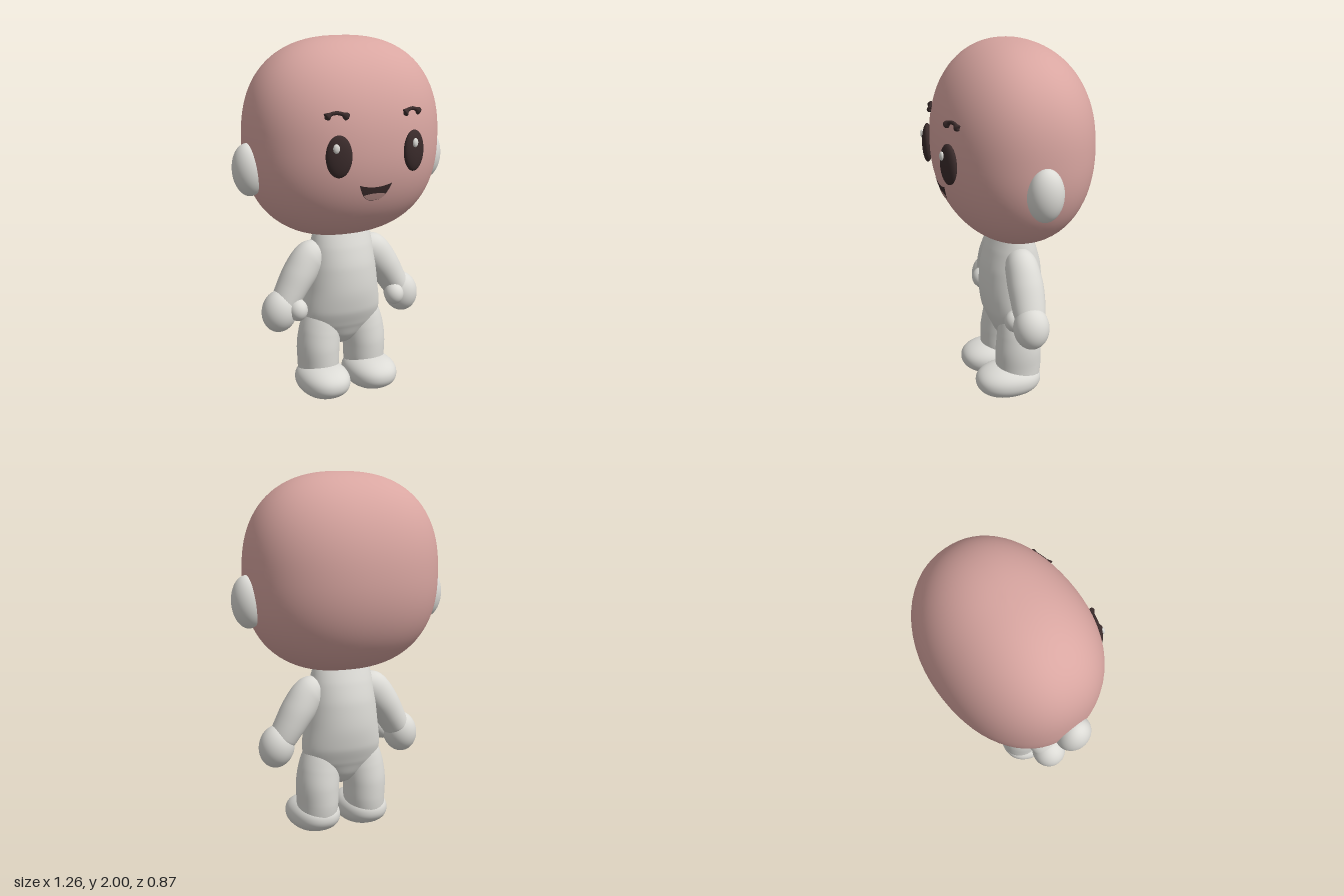
import * as THREE from 'three';

const material = (name, color) => {
  const m = new THREE.MeshStandardMaterial({ color });
  m.name = name;
  return m;
};

// Head dimensions, shared with everything that sits on the face
const HEAD = { y: 1.465, z: -0.014, rx: 0.55, ry: 0.54, rz: 0.424, nx: 2.45, nz: 2.15, m: 2.15 };

// Rounded profile: half width at relative height t
const bulge = (t, n) => Math.pow(Math.max(0, 1 - Math.pow(Math.abs(t), n)), 1 / n);

// Height of the face surface in z at a given x, y
function faceZ(x, y) {
  const t = (y - HEAD.y) / HEAD.ry;
  const s = x / (HEAD.rx * bulge(t, HEAD.nx));
  return HEAD.z + HEAD.rz * bulge(t, HEAD.nz) * bulge(s, HEAD.m);
}

// Sphere squared off by separate exponents for front, side and top outlines
function softSphere({ rx, ry, rz, nx, nz, m }) {
  const g = new THREE.SphereGeometry(1, 64, 48);
  const p = g.attributes.position;
  for (let i = 0; i < p.count; i++) {
    const t = THREE.MathUtils.clamp(p.getY(i), -1, 1);
    const a = Math.atan2(p.getZ(i), p.getX(i));
    const c = Math.cos(a), s = Math.sin(a);
    const k = Math.pow(Math.pow(Math.abs(c), m) + Math.pow(Math.abs(s), m), -1 / m);
    p.setXYZ(i, rx * bulge(t, nx) * c * k, ry * t, rz * bulge(t, nz) * s * k);
  }
  // Analytic-looking normals without a seam: gradient of the implicit form
  g.computeVertexNormals();
  const n = g.attributes.normal;
  for (let row = 0; row <= 48; row++) {
    const a = row * 65, b = a + 64;
    const v = new THREE.Vector3().fromBufferAttribute(n, a).add(new THREE.Vector3().fromBufferAttribute(n, b)).normalize();
    n.setXYZ(a, v.x, v.y, v.z);
    n.setXYZ(b, v.x, v.y, v.z);
  }
  return g;
}

// Loft of oval rings along a spine; each section is [x, y, z, width radius, depth radius]
function loft(sections, steps = 48, sides = 40) {
  const spine = new THREE.CatmullRomCurve3(sections.map(s => new THREE.Vector3(s[0], s[1], s[2])));
  const radii = new THREE.CatmullRomCurve3(sections.map(s => new THREE.Vector3(s[3], s[4], 0)));
  const pos = [], idx = [];
  for (let i = 0; i <= steps; i++) {
    const u = i / steps, c = spine.getPoint(u), t = spine.getTangent(u), r = radii.getPoint(u);
    const side = new THREE.Vector3(t.y, -t.x, 0).normalize();
    for (let j = 0; j < sides; j++) {
      const a = (j / sides) * Math.PI * 2, w = Math.cos(a) * r.x;
      pos.push(c.x + side.x * w, c.y + side.y * w, c.z + Math.sin(a) * r.y);
      if (i === steps) continue;
      const p = i * sides + j, q = i * sides + (j + 1) % sides;
      idx.push(p, p + sides, q, q, p + sides, q + sides);
    }
  }
  const g = new THREE.BufferGeometry();
  g.setAttribute('position', new THREE.Float32BufferAttribute(pos, 3));
  g.setIndex(idx);
  g.computeVertexNormals();
  return g;
}

// Thin patch that follows the face between a lower and an upper curve
function facePatch(halfWidth, lower, upper, lift) {
  const g = new THREE.PlaneGeometry(1, 1, 28, 6);
  const p = g.attributes.position;
  for (let i = 0; i < p.count; i++) {
    const x = p.getX(i) * 2 * halfWidth;
    const y = THREE.MathUtils.lerp(lower(x), upper(x), p.getY(i) + 0.5);
    p.setXYZ(i, x, y, faceZ(x, y) + lift);
  }
  g.computeVertexNormals();
  return g;
}

export function createModel() {
  const model = new THREE.Group();
  model.name = 'chibiFigure';
  const pink = material('headPink', 0xd9a6a1);
  const white = material('bodyOffWhite', 0xdcdbd6);
  const dark = material('darkBrown', 0x3a2b2b);
  const tonguePink = material('tonguePink', 0xb98f8a);

  const add = (name, geometry, mat, parent = model) => {
    const mesh = new THREE.Mesh(geometry, mat);
    mesh.name = name;
    parent.add(mesh);
    return mesh;
  };
  const ball = (name, mat, [x, y, z], [rx, ry, rz], parent) => {
    const mesh = add(name, new THREE.SphereGeometry(1, 40, 28), mat, parent);
    mesh.position.set(x, y, z);
    mesh.scale.set(rx, ry, rz);
    return mesh;
  };

  // Head
  add('head', softSphere(HEAD), pink).position.set(0, HEAD.y, HEAD.z);

  // Mouth and tongue
  const lip = x => 1.18 + 0.09 * Math.pow(Math.abs(x) / 0.095, 3);
  add('mouth', facePatch(0.095, lip, x => 1.254 + 0.016 * (x / 0.095) ** 2, 0.003), dark);
  add('tongue', facePatch(0.066, x => lip(x) + 0.002, x => 1.22 - 0.008 * (x / 0.066) ** 2, 0.006), tonguePink);

  // Torso, from the crotch up into the head
  add('torso', loft([
    [0, 0.265, -0.01, 0.002, 0.002], [0, 0.29, -0.01, 0.06, 0.05], [0, 0.34, -0.01, 0.14, 0.09],
    [0, 0.41, -0.01, 0.215, 0.125], [0, 0.5, -0.01, 0.23, 0.16], [0, 0.62, -0.01, 0.215, 0.175],
    [0, 0.75, -0.01, 0.2, 0.168], [0, 0.86, -0.01, 0.185, 0.14], [0, 0.94, -0.01, 0.165, 0.108],
    [0, 1.0, -0.01, 0.13, 0.08],
  ], 64), white);

  for (const [label, s] of [['left', 1], ['right', -1]]) {
    // Ear
    ball(label + 'Ear', white, [s * 0.543, 1.325, -0.01], [0.086, 0.141, 0.095]).rotation.z = -s * 0.06;

    // Eye with a highlight on the same side of both eyes
    const eye = new THREE.Group();
    eye.name = label + 'Eye';
    eye.position.set(s * 0.217, 1.43, 0.393);
    eye.rotation.y = s * 0.28;
    model.add(eye);
    ball(label + 'Pupil', dark, [0, 0, 0], [0.068, 0.108, 0.03], eye);
    ball(label + 'EyeHighlight', white, [-0.018, 0.045, 0.028], [0.017, 0.024, 0.011], eye);

    // Eyebrow
    const brow = [-1, -0.5, 0, 0.5, 1].map(t => {
      const x = s * 0.217 + t * 0.055, y = 1.645 - 0.022 * t * t;
      return [x, y, faceZ(x, y) + 0.004, 0.01, 0.01];
    });
    brow.unshift([...brow[0].slice(0, 3), 0.001, 0.001]);
    brow.push([...brow[5].slice(0, 3), 0.001, 0.001]);
    brow[0][0] -= 0.003;
    brow[6][0] += 0.003;
    add(label + 'Eyebrow', loft(brow, 36, 12), dark);

    // Arm, from inside the shoulder to the wrist
    add(label + 'Arm', loft([
      [s * 0.08, 0.835, -0.01, 0.002, 0.002], [s * 0.12, 0.828, -0.01, 0.065, 0.065],
      [s * 0.19, 0.8, -0.01, 0.098, 0.09], [s * 0.258, 0.72, -0.01, 0.094, 0.098],
      [s * 0.315, 0.63, -0.008, 0.084, 0.094], [s * 0.355, 0.56, -0.004, 0.075, 0.085],
      [s * 0.38, 0.51, 0, 0.05, 0.05],
    ]), white);

    // Hand and thumb
    ball(label + 'Hand', white, [s * 0.386, 0.522, 0], [0.098, 0.118, 0.098]).rotation.z = s * 0.2;
    ball(label + 'Thumb', white, [s * 0.305, 0.535, 0.065], [0.055, 0.062, 0.058]);

    // Leg
    add(label + 'Leg', loft([
      [s * 0.115, 0.53, -0.01, 0.01, 0.01], [s * 0.125, 0.46, -0.01, 0.1, 0.1],
      [s * 0.137, 0.37, -0.01, 0.118, 0.118], [s * 0.147, 0.27, -0.01, 0.12, 0.13],
      [s * 0.147, 0.18, -0.01, 0.116, 0.13], [s * 0.15, 0.1, -0.01, 0.11, 0.12],
      [s * 0.15, 0.05, -0.01, 0.02, 0.02],
    ]), white);

    // Foot
    add(label + 'Foot', softSphere({ rx: 0.144, ry: 0.095, rz: 0.188, nx: 2.2, nz: 2.2, m: 2.2 }), white)
      .position.set(s * 0.15, 0.096, 0.052);
  }
  return model;
}
